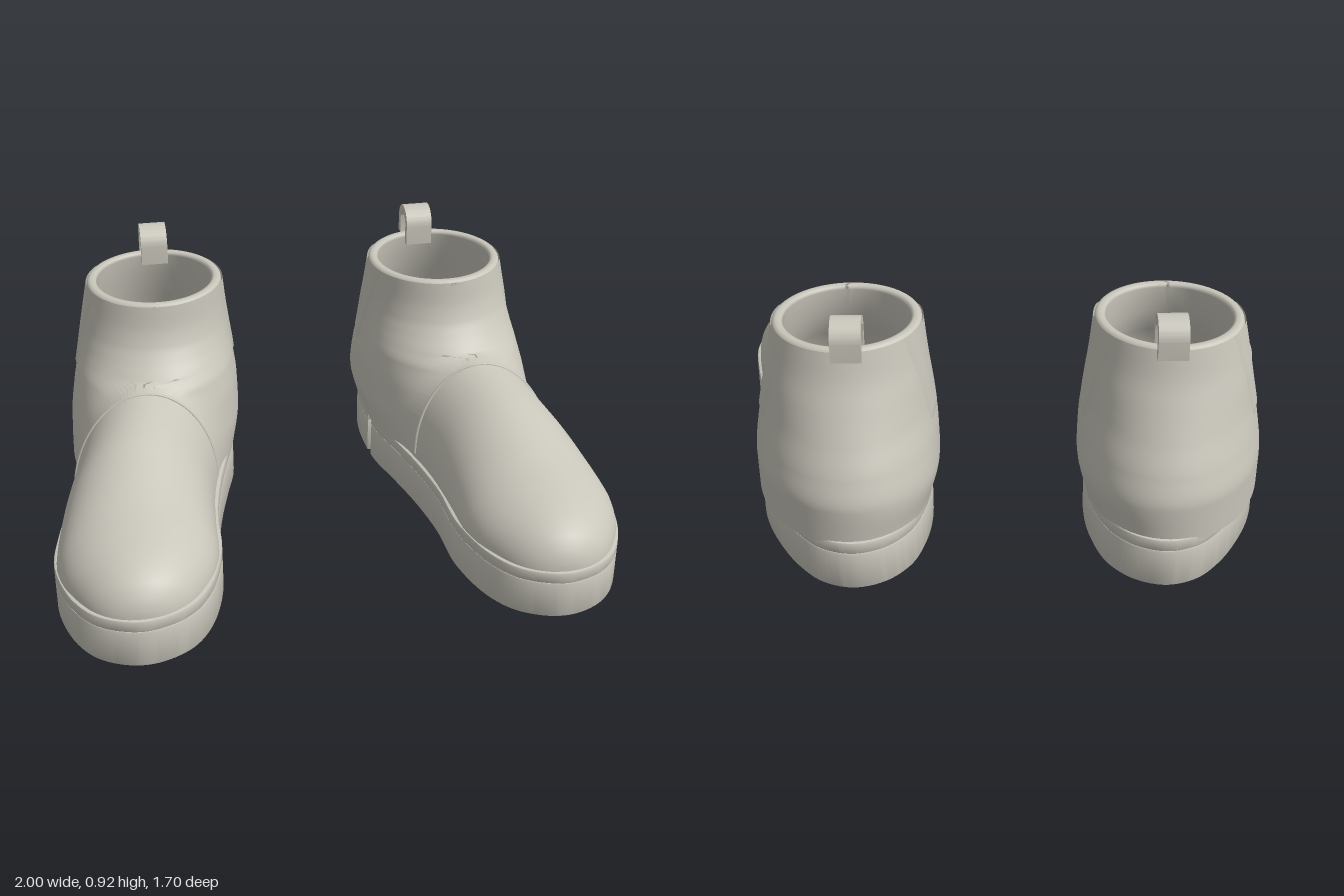
import * as THREE from 'three';
import { toCreasedNormals } from 'three/addons/utils/BufferGeometryUtils.js';

// Smooth monotone interpolation through [key, value] pairs
function curve(pts) {
  const n = pts.length;
  const sec = pts.slice(1).map((p, i) => (p[1] - pts[i][1]) / (p[0] - pts[i][0]));
  const slope = pts.map((_, i) => {
    if (i === 0) return sec[0];
    if (i === n - 1) return sec[n - 2];
    const a = sec[i - 1], b = sec[i];
    return a * b <= 0 ? 0 : (2 * a * b) / (a + b);
  });
  return (v) => {
    if (v <= pts[0][0]) return pts[0][1];
    if (v >= pts[n - 1][0]) return pts[n - 1][1];
    let i = 0;
    while (v > pts[i + 1][0]) i++;
    const h = pts[i + 1][0] - pts[i][0], t = (v - pts[i][0]) / h, t2 = t * t, t3 = t2 * t;
    return (2 * t3 - 3 * t2 + 1) * pts[i][1] + (t3 - 2 * t2 + t) * h * slope[i]
      + (3 * t2 - 2 * t3) * pts[i + 1][1] + (t3 - t2) * h * slope[i + 1];
  };
}

const BASE = 0.17, TOP = 0.8;

// Foot: crown height, half width and centre line along z
const footHeight = curve([[-0.5, 0.6], [-0.2, 0.58], [-0.1, 0.56], [0, 0.532], [0.1, 0.515], [0.2, 0.493],
  [0.3, 0.46], [0.4, 0.425], [0.5, 0.392], [0.6, 0.366], [0.7, 0.338], [0.78, 0.3], [0.82, 0.255], [0.838, 0.21], [0.842, BASE]]);
const footWidth = curve([[-0.5, 0], [-0.4, 0.15], [-0.2, 0.25], [0, 0.265], [0.1, 0.262], [0.3, 0.272],
  [0.5, 0.28], [0.6, 0.262], [0.7, 0.215], [0.77, 0.165], [0.81, 0.115], [0.835, 0.055], [0.842, 0]]);
const footCentre = curve([[-0.5, 0.55], [-0.2, 0.585], [0, 0.63], [0.3, 0.69], [0.5, 0.71], [0.85, 0.72]]);

// Ankle and heel: oval slices by height
const ankleBack = curve([[0.17, -0.842], [0.3, -0.848], [0.4, -0.82], [0.5, -0.774], [0.6, -0.73], [0.7, -0.69], [0.8, -0.665]]);
const ankleFront = curve([[0.17, 0], [0.4, 0], [0.5, -0.02], [0.55, -0.06], [0.6, -0.105], [0.65, -0.138], [0.72, -0.16], [0.8, -0.17]]);
const ankleInner = curve([[0.17, 0.275], [0.3, 0.243], [0.4, 0.245], [0.5, 0.255], [0.6, 0.268], [0.7, 0.28], [0.8, 0.29]]);
const ankleOuter = curve([[0.17, 0.88], [0.3, 0.88], [0.4, 0.868], [0.5, 0.85], [0.6, 0.83], [0.7, 0.81], [0.8, 0.79]]);

function footFront(y) {
  let lo = -0.5, hi = 0.842;
  for (let i = 0; i < 30; i++) {
    const m = (lo + hi) / 2;
    if (footHeight(m) > y) lo = m; else hi = m;
  }
  return lo;
}

// Centre and half width of the upper at a given z and height
function section(z, y, inset = 0, withFoot = true) {
  const b = ankleBack(y) + inset, f = ankleFront(y) - inset;
  const s = (2 * z - b - f) / (f - b);
  const wa = ((ankleOuter(y) - ankleInner(y)) / 2 - inset) * Math.sqrt(Math.max(0, 1 - s * s));
  const ca = (ankleOuter(y) + ankleInner(y)) / 2 + 0.16 * (TOP - Math.min(y, TOP)) * (z + 0.4);
  const t = (y - BASE) / Math.max(1e-4, footHeight(z) - BASE);
  const wf = withFoot ? footWidth(z) * Math.sqrt(Math.max(0, 1 - t * t)) : 0;
  const a4 = wa ** 4, f4 = wf ** 4, sum = a4 + f4;
  if (sum < 1e-14) return { c: s > 1 ? footCentre(z) : ca, w: 0 };
  return { c: (ca * a4 + footCentre(z) * f4) / sum, w: sum ** 0.25 };
}

function ring(y, inset = 0, withFoot = true, shrink = 1, count = 112) {
  const back = ankleBack(y) + inset;
  let front = ankleFront(y) - inset;
  if (withFoot) front = Math.max(front, footFront(y));
  const mid = (front + back) / 2;
  return Array.from({ length: count }, (_, j) => {
    const u = (j / count) * Math.PI * 2;
    const z = mid + ((front - back) / 2) * Math.cos(u);
    const { c, w } = section(z, y, inset, withFoot);
    const x = c + Math.sign(Math.round(Math.sin(u) * 1e6)) * w;
    return [0.55 + (x - 0.55) * shrink, y, mid + (z - mid) * shrink];
  });
}

// Skin rows of points; closed rows wrap around
function skin(rows, closed) {
  const n = rows[0].length, index = [];
  for (let i = 0; i < rows.length - 1; i++) {
    for (let j = 0; j < (closed ? n : n - 1); j++) {
      const k = (j + 1) % n, a = i * n + j, b = i * n + k;
      index.push(a, b, b + n, a, b + n, a + n);
    }
  }
  const g = new THREE.BufferGeometry();
  g.setAttribute('position', new THREE.Float32BufferAttribute(rows.flat(2), 3));
  g.setIndex(index);
  g.computeVertexNormals();
  return g;
}

function upper() {
  const rows = [];
  for (let i = 0; i <= 110; i++) rows.push(ring(BASE + (TOP - BASE) * (i / 110)));
  return skin(rows, true);
}

// Rolled rim, inner wall and insole
function lining() {
  const rows = [[0.8, 0], [0.806, 0.004], [0.809, 0.012], [0.809, 0.024], [0.805, 0.032], [0.795, 0.036],
    [0.7, 0.037], [0.6, 0.037], [0.5, 0.04], [0.4, 0.045], [0.3, 0.05], [0.22, 0.06]].map(([y, d]) => ring(y, d, false));
  rows.push(ring(0.2, 0.08, false), ring(0.2, 0.08, false, 0.001));
  return skin(rows, true);
}

// Tapered elastic panel lying on the side of the ankle
function gusset(side) {
  const rows = [], nz = 12;
  for (let i = 0; i <= 16; i++) {
    const v = i / 16, y = 0.46 + 0.34 * v;
    const z0 = -0.42 + 0.11 * v, z1 = -0.53 - 0.05 * v;
    const row = [];
    for (let j = 0; j <= nz; j++) {
      const z = z0 + (z1 - z0) * (j / nz);
      const { c, w } = section(z, y);
      const lift = i === 0 || j === 0 || j === nz ? -0.002 : 0.006;
      row.push([c + side * (w + lift), y, z]);
    }
    rows.push(side > 0 ? row : row.reverse());
  }
  return skin(rows, false);
}

// Raised seam over the instep
function instepSeam() {
  const pts = [];
  for (let i = 0; i <= 24; i++) {
    const a = Math.PI * (0.03 + 0.94 * (i / 24));
    const z = 0.05 - 0.06 * Math.sin(a);
    const y = BASE + (footHeight(z) - BASE) * Math.sin(a) * 0.998;
    const { c, w } = section(z, y);
    pts.push(new THREE.Vector3(c + Math.sign(Math.cos(a)) * (Math.abs(i - 12) < 1 ? 0 : w), y, z));
  }
  return new THREE.TubeGeometry(new THREE.CatmullRomCurve3(pts), 60, 0.006, 6);
}

// Sole outline as (x, z), from the toe along the outer side and back
const outline = new THREE.CatmullRomCurve3([
  [0.72, 0.852], [0.86, 0.805], [0.945, 0.7], [0.998, 0.5], [0.973, 0.3], [0.925, 0.1], [0.902, -0.05], [0.888, -0.2],
  [0.877, -0.38], [0.845, -0.5], [0.79, -0.62], [0.72, -0.73], [0.63, -0.82], [0.525, -0.853], [0.42, -0.82], [0.335, -0.73],
  [0.288, -0.6], [0.269, -0.45], [0.283, -0.25], [0.325, -0.1], [0.372, 0.08], [0.407, 0.28], [0.422, 0.5], [0.488, 0.7], [0.575, 0.803],
].map(([x, z]) => new THREE.Vector3(x, 0, z)), true).getSpacedPoints(200).slice(0, -1);

function slab(keep, y, height, bevel) {
  const shape = new THREE.Shape(outline.filter(keep).map((p) => new THREE.Vector2(p.x, -p.z)));
  const g = new THREE.ExtrudeGeometry(shape, {
    depth: height - 2 * bevel, bevelThickness: bevel, bevelSize: bevel, bevelOffset: -bevel, bevelSegments: 2,
  });
  g.rotateX(-Math.PI / 2).translate(0, y + bevel, 0);
  return toCreasedNormals(g, 0.6);
}

// Arched pull tab on the back of the collar
function pullTab() {
  const s = new THREE.Shape();
  s.moveTo(-0.578, 0.78);
  s.lineTo(-0.578, 0.85);
  s.absarc(-0.645, 0.85, 0.069, 0, Math.PI, false);
  s.lineTo(-0.714, 0.79);
  s.lineTo(-0.682, 0.79);
  s.lineTo(-0.686, 0.85);
  s.absarc(-0.645, 0.85, 0.041, Math.PI, 0, true);
  s.lineTo(-0.604, 0.78);
  const g = new THREE.ExtrudeGeometry(s, { depth: 0.1, bevelEnabled: false, curveSegments: 20 });
  g.rotateY(-Math.PI / 2).translate(0.572, 0, 0);
  return toCreasedNormals(g, 0.6);
}

// Mirror across x, keeping faces outward
function mirrored(source) {
  const g = source.index ? source.toNonIndexed() : source.clone();
  for (const attr of Object.values(g.attributes)) {
    const a = attr.array, s = attr.itemSize;
    for (let i = 0; i < a.length; i += 3 * s) {
      for (let k = 0; k < s; k++) [a[i + s + k], a[i + 2 * s + k]] = [a[i + 2 * s + k], a[i + s + k]];
    }
  }
  for (const name of ['position', 'normal']) {
    const a = g.attributes[name].array;
    for (let i = 0; i < a.length; i += 3) a[i] = -a[i];
  }
  return g;
}

export function createModel() {
  const clay = new THREE.MeshStandardMaterial({ color: 0xc8c5ba, side: THREE.DoubleSide });
  clay.name = 'warm grey';

  const fore = (p) => p.z > -0.295, heel = (p) => p.z < -0.315;
  const parts = {
    upper: upper(),
    collarLining: lining(),
    outerGusset: gusset(1),
    innerGusset: gusset(-1),
    instepSeam: instepSeam(),
    pullTab: pullTab(),
    foreSole: slab(fore, 0, 0.143, 0.008),
    foreWelt: slab(fore, 0.14, 0.045, 0.007),
    heelSole: slab(heel, 0, 0.143, 0.008),
    heelWelt: slab(heel, 0.14, 0.045, 0.007),
    soleWaist: new THREE.BoxGeometry(0.57, 0.15, 0.12).translate(0.581, 0.095, -0.305),
  };

  const model = new THREE.Group();
  model.name = 'pairOfBoots';
  for (const side of ['left', 'right']) {
    const boot = new THREE.Group();
    boot.name = side + 'Boot';
    for (const [name, geometry] of Object.entries(parts)) {
      const mesh = new THREE.Mesh(side === 'left' ? geometry : mirrored(geometry), clay);
      mesh.name = name;
      boot.add(mesh);
    }
    model.add(boot);
  }
  return model;
}
